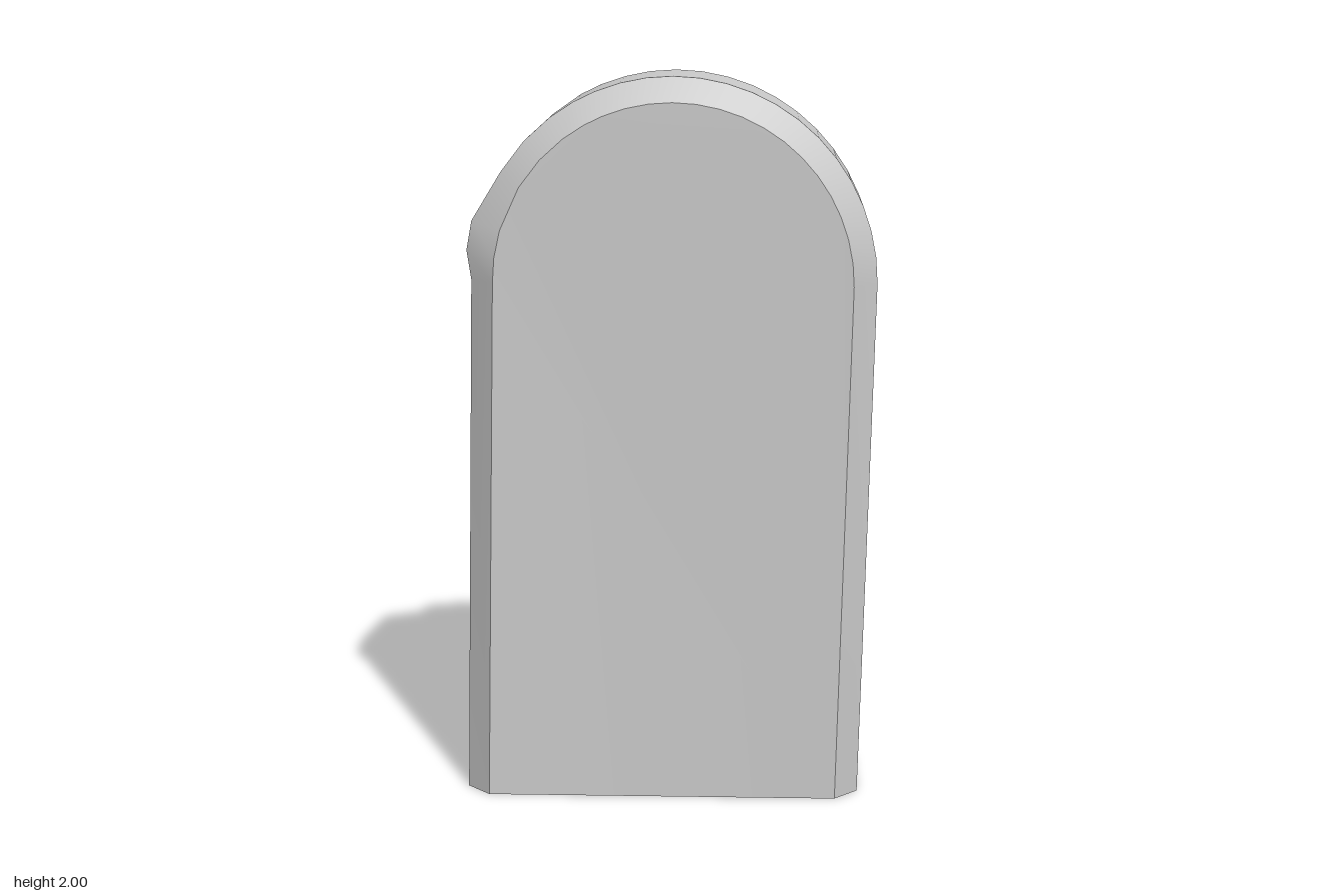
import * as THREE from 'three';
import { toCreasedNormals } from 'three/addons/utils/BufferGeometryUtils.js';

const SPRING = 1.45; // height where the arch begins
const HALF = 0.55; // half width of the slab
const BEVEL = 0.065;

// Arch angles in degrees; steps widen around the chipped shoulder
const ANGLES = [];
for (let a = 0; a <= 112.5; a += 7.5) ANGLES.push(a);
ANGLES.push(119, 127, 137, 148, 163, 172, 180);
const index = (angle) => ANGLES.indexOf(angle) + 1; // +1 for the foot point
const NOTCH = index(127);

// One round-topped outline at depth z, from the right foot over to the left foot
function outline(radius, z, edits = {}) {
  const points = [new THREE.Vector3(-0.015 + radius, 0, z)];
  for (const angle of ANGLES) {
    const t = THREE.MathUtils.degToRad(angle);
    points.push(new THREE.Vector3(0.015 + radius * Math.cos(t), SPRING + radius * Math.sin(t), z));
  }
  points.push(new THREE.Vector3(-0.015 - radius, 0, z));
  for (const [angle, [x, y]] of Object.entries(edits)) {
    points[index(Number(angle))].set(x, y, z);
  }
  // Slight twist of the slab towards its top
  for (const p of points) p.z += 0.045 * p.x * Math.min(p.y / 1.5, 1);
  return points;
}

function slabGeometry() {
  const bulge = { 163: [-0.532, 1.61], 172: [-0.547, 1.53] };
  const rings = [
    outline(HALF - BEVEL, 0.205),
    outline(HALF, 0.14, bulge),
    outline(HALF, 0.015, bulge),
    // The notch deepens towards the back face
    outline(HALF, -0.145, { 127: [-0.298, 1.785], 137: [-0.385, 1.785] }),
    outline(HALF - BEVEL, -0.21, { 127: [-0.29, 1.745], 137: [-0.345, 1.74] }),
  ];
  const n = rings[0].length;
  const indices = [];

  // Bevels, rim and underside
  for (let k = 0; k < rings.length - 1; k++) {
    for (let i = 0; i < n; i++) {
      const j = (i + 1) % n;
      const a = k * n + i, b = k * n + j, c = (k + 1) * n + j, d = (k + 1) * n + i;
      if (i === NOTCH) indices.push(a, d, c, a, c, b);
      else indices.push(a, d, b, d, c, b);
    }
  }

  // Front and back faces
  const flat = (ring) => ring.map((p) => new THREE.Vector2(p.x, p.y));
  const last = (rings.length - 1) * n;
  for (const [a, b, c] of THREE.ShapeUtils.triangulateShape(flat(rings[0]), [])) {
    indices.push(a, b, c);
  }
  for (const [a, b, c] of THREE.ShapeUtils.triangulateShape(flat(rings[rings.length - 1]), [])) {
    indices.push(last + a, last + c, last + b);
  }

  const geometry = new THREE.BufferGeometry().setFromPoints(rings.flat());
  geometry.setIndex(indices);
  return toCreasedNormals(geometry, 0.35);
}

export function createModel() {
  const group = new THREE.Group();
  group.name = 'gravestone';
  const slab = new THREE.Mesh(slabGeometry(), new THREE.MeshStandardMaterial({ color: 0xcccccc }));
  slab.name = 'stoneSlab';
  group.add(slab);
  return group;
}
